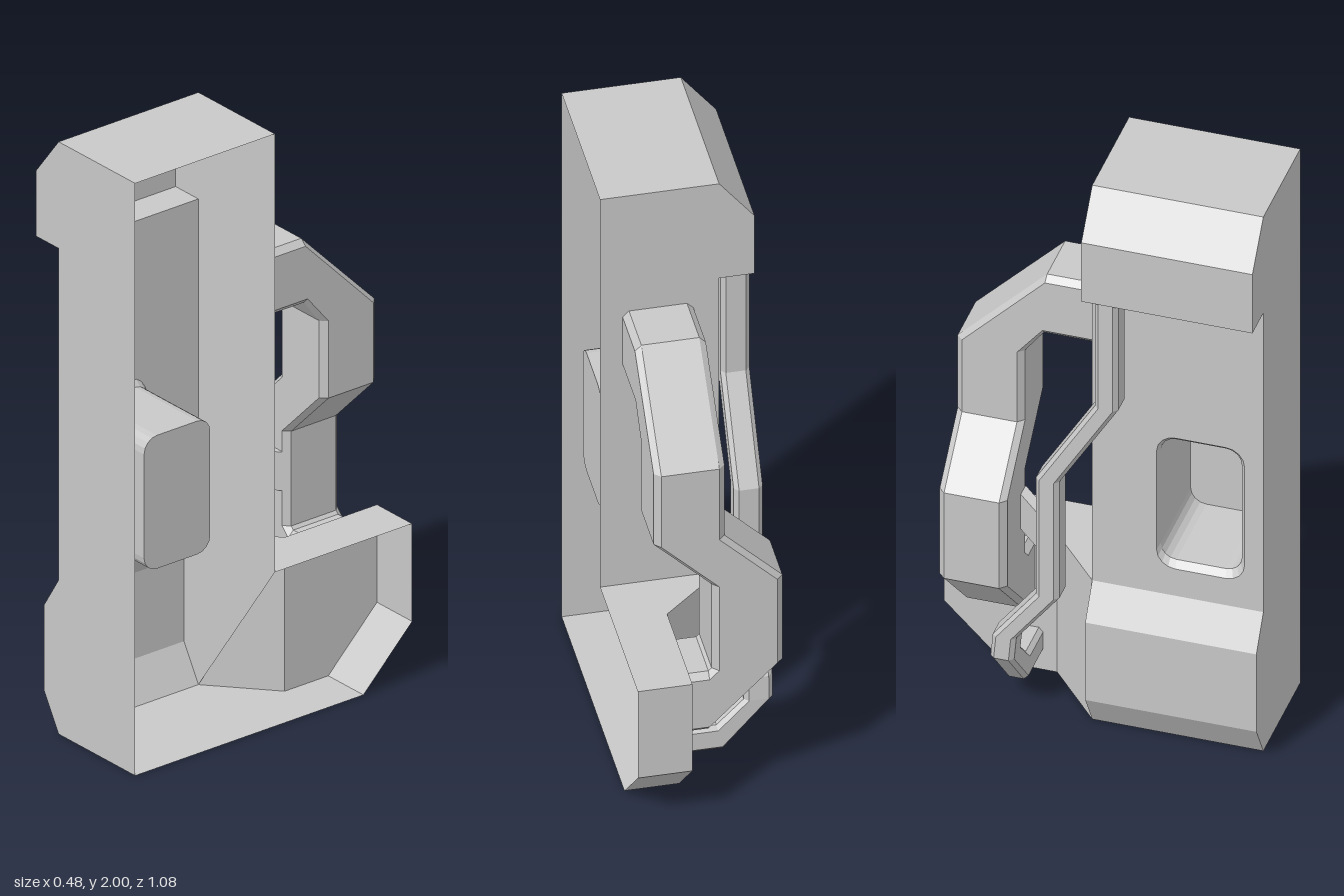
import * as THREE from 'three';

const V = (x, y, z) => new THREE.Vector3(x, y, z);
const FRONT = 0.54, BACK = -0.005, REAR = -0.54, OPEN = 0.24;

export function createModel() {
  const model = new THREE.Group();
  const grey = new THREE.MeshStandardMaterial({ color: 0xc8c8c8, side: THREE.DoubleSide });
  grey.name = 'grey';

  const add = (name, geometry, parent) => {
    const flat = geometry.index ? geometry.toNonIndexed() : geometry;
    flat.computeVertexNormals();
    const mesh = new THREE.Mesh(flat, grey);
    mesh.name = name;
    parent.add(mesh);
  };

  // flat panel from a 2D outline, mapped into space
  const panel = (name, parent, outline, map, flip = false, hole = null) => {
    const shape = new THREE.Shape(outline.map(([a, b]) => new THREE.Vector2(a, b)));
    if (hole) shape.holes.push(new THREE.Path(hole.map(([a, b]) => new THREE.Vector2(a, b))));
    const g = new THREE.ShapeGeometry(shape);
    const p = g.attributes.position;
    for (let i = 0; i < p.count; i++) p.setXYZ(i, ...map(p.getX(i), p.getY(i)));
    if (flip) g.index.array.reverse();
    add(name, g, parent);
  };
  const atX = x => (z, y) => [x, y, z];
  const atY = y => (x, z) => [x, y, z];
  const atZ = z => (x, y) => [x, y, z];

  // skin between successive rings of points
  const skin = (name, parent, rings, closed = true, capStart = false, capEnd = false) => {
    const n = rings[0].length, idx = [];
    for (let r = 0; r + 1 < rings.length; r++) {
      for (let i = 0; i < (closed ? n : n - 1); i++) {
        const j = (i + 1) % n, a = r * n + i, b = r * n + j;
        idx.push(a, b, b + n, a, b + n, a + n);
      }
    }
    const last = (rings.length - 1) * n;
    for (let i = 1; i + 1 < n; i++) {
      if (capStart) idx.push(0, i + 1, i);
      if (capEnd) idx.push(last, last + i, last + i + 1);
    }
    const g = new THREE.BufferGeometry().setFromPoints(rings.flat());
    g.setIndex(idx);
    add(name, g, parent);
  };

  // bar with bevelled rectangular section; stations hold centre and two half axes
  const bar = (name, stations, bevel) => {
    const rings = stations.map(([c, u, w]) => {
      const U = V(...u), W = V(...w);
      const bu = 1 - bevel / U.length(), bw = 1 - bevel / W.length();
      return [[1, bw], [bu, 1], [-bu, 1], [-1, bw], [-1, -bw], [-bu, -1], [bu, -1], [1, -bw]]
        .map(([a, b]) => V(...c).addScaledVector(U, a).addScaledVector(W, b));
    });
    skin(name, model, rings, true, true, true);
  };

  // ---- tall body shell, open on its left side ----
  const body = new THREE.Group();
  body.name = 'body';
  model.add(body);
  const upper = [[OPEN, 2], [-0.13, 2], [-0.24, 1.86], [-0.24, 1.64], [-0.13, 1.64]];
  const lower = [[-0.13, 0.52], [-0.2, 0.41], [-0.2, 0.12], [-0.13, 0], [OPEN, 0]];
  panel('frontWall', body, [...upper, ...lower], atZ(FRONT));
  panel('backWall', body, [...upper, ...lower.slice(0, 4), [-0.13, 0.52], [OPEN, 0.52]]
    .filter((p, i) => i !== 9), atZ(BACK), true);
  for (const [name, line] of [['headShell', upper], ['footShell', lower]]) {
    skin(name, body, [FRONT, BACK].map(z => line.map(([x, y]) => V(x, y, z))), false);
  }

  // rounded outline for the side pocket
  const rounded = (z0, z1, y0, y1, r) => {
    const pts = [];
    [[z1 - r, y1 - r], [z0 + r, y1 - r], [z0 + r, y0 + r], [z1 - r, y0 + r]].forEach(([z, y], k) => {
      for (let i = 0; i <= 4; i++) {
        const a = (k + i / 4) * Math.PI / 2;
        pts.push([z + r * Math.cos(a), y + r * Math.sin(a)]);
      }
    });
    return pts;
  };
  const rim = rounded(0.2, 0.48, 0.62, 1.11, 0.06);
  const inner = rounded(0.207, 0.465, 0.642, 1.092, 0.05);
  panel('sideWall', body, [[BACK, 0.52], [FRONT, 0.52], [FRONT, 1.64], [BACK, 1.64]], atX(-0.13), false, rim);
  const ring = (pts, x) => pts.map(([z, y]) => V(x, y, z));
  skin('sidePocket', body, [ring(rim, -0.13), ring(inner, -0.11), ring(inner, 0.19)]);
  panel('pocketFloor', body, inner, atX(0.19));

  // ---- low rear housing, also open on its left side ----
  const housing = new THREE.Group();
  housing.name = 'rearHousing';
  model.add(housing);
  const plan = end => [[OPEN, BACK], [-0.13, BACK], [0.07, -0.18], [0.07, end], [OPEN, end]];
  panel('housingTop', housing, plan(REAR), atY(0.52), true);
  panel('housingBottom', housing, plan(-0.35), atY(0));
  panel('housingSide', housing,
    [[-0.18, 0], [-0.18, 0.52], [REAR, 0.52], [REAR, 0.19], [-0.35, 0]], atX(0.07));
  skin('slantedWall', housing, [[-0.13, BACK], [0.07, -0.18]]
    .map(([x, z]) => [V(x, 0, z), V(x, 0.52, z)]), false);
  skin('housingRear', housing, [[0.52, REAR], [0.19, REAR], [0, -0.35]]
    .map(([y, z]) => [V(OPEN, y, z), V(0.07, y, z)]), false);

  // ---- thick cranked handle ----
  const across = [0.11, 0, 0], deep = [0, 0, -0.1075];
  bar('handle', [
    [[0.06, 1.45, BACK], [0, 0.11, 0], across],
    [[0.06, 1.45, -0.185], [0, 0.11, 0.005], across],
    [[0.06, 1.265, -0.3575], [0, 0.005, -0.1075], across],
    [[0.06, 1.0, -0.3575], deep, across],
    [[-0.12, 0.82, -0.3575], deep, across],
    [[-0.12, 0.5, -0.3575], deep, across],
    [[0, 0.38, -0.3575], deep, [0, 0.11, 0]],
    [[0.07, 0.38, -0.3575], deep, [0, 0.11, 0]],
  ], 0.02);

  // ---- thin bent rod ----
  const thin = [0, 0, -0.0375], wide = [0.045, 0, 0];
  bar('rod', [
    [[-0.19, 1.64, 0.07], thin, wide],
    [[-0.19, 1.245, 0.07], thin, wide],
    [[-0.19, 0.935, -0.118], thin, wide],
    [[-0.19, 0.5, -0.118], thin, wide],
    [[-0.19, 0.32, -0.255], thin, wide],
    [[-0.19, 0.24, -0.262], thin, wide],
    [[-0.07, 0.11, -0.262], thin, [0.01, 0.045, 0]],
    [[0.07, 0.11, -0.262], thin, [0, 0.045, 0]],
  ], 0.014);

  // link between rod and handle
  const link = new THREE.BoxGeometry(0.17, 0.13, 0.035);
  link.rotateY(Math.PI / 4).translate(-0.1, 0.685, -0.2);
  add('link', link, model);

  return model;
}
